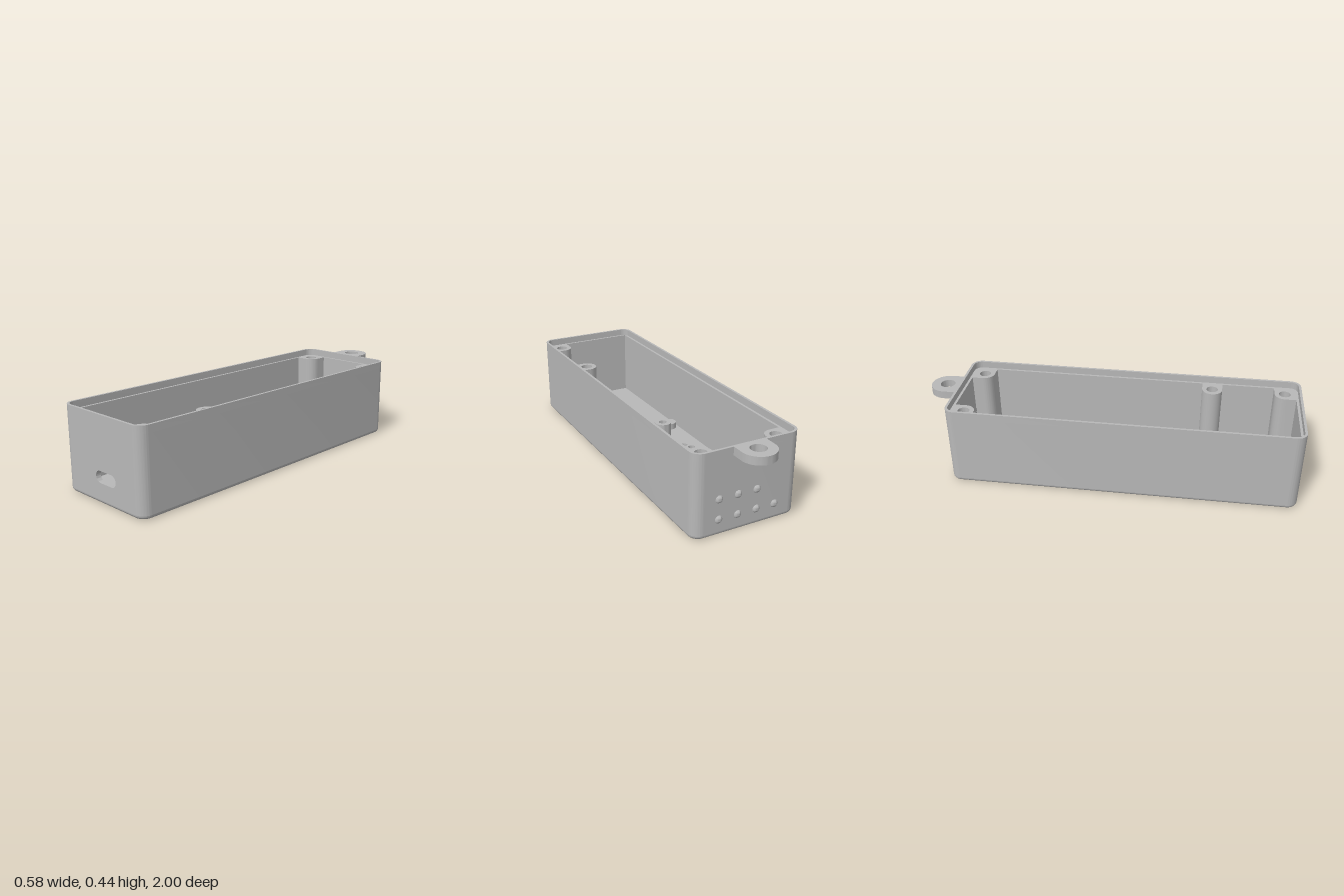
import * as THREE from 'three';
import { toCreasedNormals } from 'three/addons/utils/BufferGeometryUtils.js';

// Plan shapes are drawn in (x, -z) and raised along y.
const HALF_X = 0.288, FRONT = 1, BACK = -0.85, CORNER = 0.055;
const WALL = 0.026, LIP = 0.013, FLOOR = 0.026, FILLET = 0.02;
const LEDGE = 0.4, TOP = 0.437;
const IN_X = HALF_X - WALL, IN_F = FRONT - WALL, IN_B = BACK + WALL;
const CX = HALF_X - CORNER;

export function createModel() {
  const group = new THREE.Group();
  const grey = new THREE.MeshStandardMaterial({ color: 0xb8b8b8 });
  grey.name = 'grey plastic';

  const add = (name, geometry) => {
    const mesh = new THREE.Mesh(toCreasedNormals(geometry, 0.6), grey);
    mesh.name = name;
    group.add(mesh);
    return mesh;
  };
  const slab = (name, shape, y0, y1) => {
    const g = new THREE.ExtrudeGeometry(shape, { depth: y1 - y0, bevelEnabled: false, curveSegments: 16 });
    return add(name, g.rotateX(-Math.PI / 2).translate(0, y0, 0));
  };
  const circle = (x, z, r, Type = THREE.Path) => new Type().absarc(x, -z, r, 0, Math.PI * 2, false);

  // Four rounded corners, anticlockwise from the front
  const corners = (shape, r) => {
    const c = [[CX, -FRONT + CORNER], [CX, -BACK - CORNER], [-CX, -BACK - CORNER], [-CX, -FRONT + CORNER]];
    c.forEach(([x, y], i) => shape.absarc(x, y, r, (i - 1) * Math.PI / 2, i * Math.PI / 2, false));
    return shape;
  };
  const outline = (inset, Type = THREE.Shape) => corners(new Type(), CORNER - inset);

  // Floor with its openings
  const floor = outline(FILLET);
  floor.holes.push(circle(0, -0.35, 0.115), circle(-0.195, -0.35, 0.04), circle(0.195, -0.35, 0.04));
  floor.holes.push(new THREE.Path([[-0.045, 0.61], [0.043, 0.61], [0.043, 0.675], [-0.045, 0.675]]
    .map(([x, y]) => new THREE.Vector2(x, y))));
  floor.holes.push(circle(-0.135, -0.035, 0.02));
  for (let i = 0; i < 6; i++) {
    const a = i * Math.PI / 3;
    floor.holes.push(circle(-0.135 + 0.052 * Math.cos(a), -0.035 + 0.052 * Math.sin(a), 0.02));
  }
  slab('floor', floor, 0, FLOOR);

  // Rounded lower edge, lofted through inset outlines
  const pos = [], index = [], steps = 6;
  let n = 0;
  for (let k = 0; k <= steps; k++) {
    const t = k / steps * Math.PI / 2;
    const ring = outline(FILLET * (1 - Math.sin(t))).getPoints(8);
    n = ring.length;
    for (const p of ring) pos.push(p.x, FILLET * (1 - Math.cos(t)), -p.y);
  }
  for (let k = 0; k < steps; k++) {
    for (let i = 0; i < n; i++) {
      const a = k * n + i, b = k * n + (i + 1) % n;
      index.push(a, b, b + n, a, b + n, a + n);
    }
  }
  const edge = new THREE.BufferGeometry();
  edge.setAttribute('position', new THREE.Float32BufferAttribute(pos, 3));
  edge.setIndex(index);
  add('lowerEdge', edge);

  // Side and back walls, open at the front for the slotted panel
  const walls = corners(new THREE.Shape(), CORNER);
  [[-CX, -IN_F], [-IN_X, -IN_F], [-IN_X, -IN_B], [IN_X, -IN_B], [IN_X, -IN_F], [CX, -IN_F]]
    .forEach(([x, y]) => walls.lineTo(x, y));
  walls.closePath();
  slab('walls', walls, FILLET, LEDGE);

  // Front panel with the cable slot
  const panel = new THREE.Shape();
  panel.moveTo(-CX, FILLET).lineTo(CX, FILLET).lineTo(CX, LEDGE).lineTo(-CX, LEDGE).closePath();
  const slot = new THREE.Path();
  slot.absarc(0.073, 0.135, 0.03, -Math.PI / 2, Math.PI / 2, false);
  slot.absarc(-0.015, 0.135, 0.03, Math.PI / 2, Math.PI * 1.5, false);
  slot.closePath();
  panel.holes.push(slot);
  add('frontPanel', new THREE.ExtrudeGeometry(panel, { depth: WALL, bevelEnabled: false, curveSegments: 16 })
    .translate(0, 0, IN_F));

  // Thin rim that leaves a ledge for a lid
  const rim = outline(0);
  rim.holes.push(outline(LIP, THREE.Path));
  slab('rim', rim, LEDGE, TOP);

  // Hanging ear
  const ear = new THREE.Shape();
  ear.moveTo(-0.088, 0.842).lineTo(0.088, 0.842).lineTo(0.088, 0.912);
  ear.absarc(0, 0.912, 0.088, 0, Math.PI, false).closePath();
  ear.holes.push(circle(0, -0.912, 0.04));
  slab('hangingEar', ear, 0.395, TOP);

  // Tall screw posts merged into the walls; zWall is 0 for the post away from a corner
  const r = 0.055;
  for (const [name, x, z, zWall] of [
    ['backRightPost', -0.205, -0.765, IN_B], ['backLeftPost', 0.205, -0.765, IN_B],
    ['frontLeftPost', 0.203, 0.915, IN_F], ['middleLeftPost', 0.203, 0.522, 0],
  ]) {
    const sx = Math.sign(x), pts = [];
    const from = zWall ? 0 : -Math.PI / 2;
    const sz = zWall > 0 ? -1 : 1; // direction from the post into the cavity
    if (zWall) pts.push([sx * IN_X, zWall], [x - sx * r, zWall]);
    else pts.push([sx * IN_X, z - r]);
    for (let i = 0; i <= 16; i++) {
      const a = from + (Math.PI / 2 - from) * i / 16;
      pts.push([x - sx * r * Math.cos(a), z + sz * r * Math.sin(a)]);
    }
    pts.push([sx * IN_X, z + sz * r]);
    const post = new THREE.Shape(pts.map(([px, pz]) => new THREE.Vector2(px, -pz)));
    post.holes.push(circle(x, z, 0.031));
    slab(name, post, FLOOR, LEDGE);
  }

  // Short round bosses: x, z, outer radius, hole radius, top
  for (const [x, z, ro, ri, top] of [
    [-0.15, -0.665, 0.036, 0.019, 0.09], [0.15, -0.665, 0.036, 0.019, 0.09],
    [-0.195, -0.35, 0.058, 0.04, 0.06], [0.195, -0.35, 0.058, 0.04, 0.06],
    [0, -0.035, 0.045, 0.021, 0.22],
    [-0.208, 0.27, 0.042, 0.013, 0.06], [0.103, 0.832, 0.042, 0.013, 0.06],
  ]) {
    const boss = circle(x, z, ro, THREE.Shape);
    boss.holes.push(circle(x, z, ri));
    slab('boss', boss, FLOOR, top);
  }

  // Raised dots on the back: three above four
  [[0.19, 3], [0.085, 4]].forEach(([y, count]) => {
    for (let i = 0; i < count; i++) {
      add('backDot', new THREE.SphereGeometry(0.022, 20, 14)).position.set(0.155 - i * 0.103, y, BACK + 0.009);
    }
  });

  return group;
}
